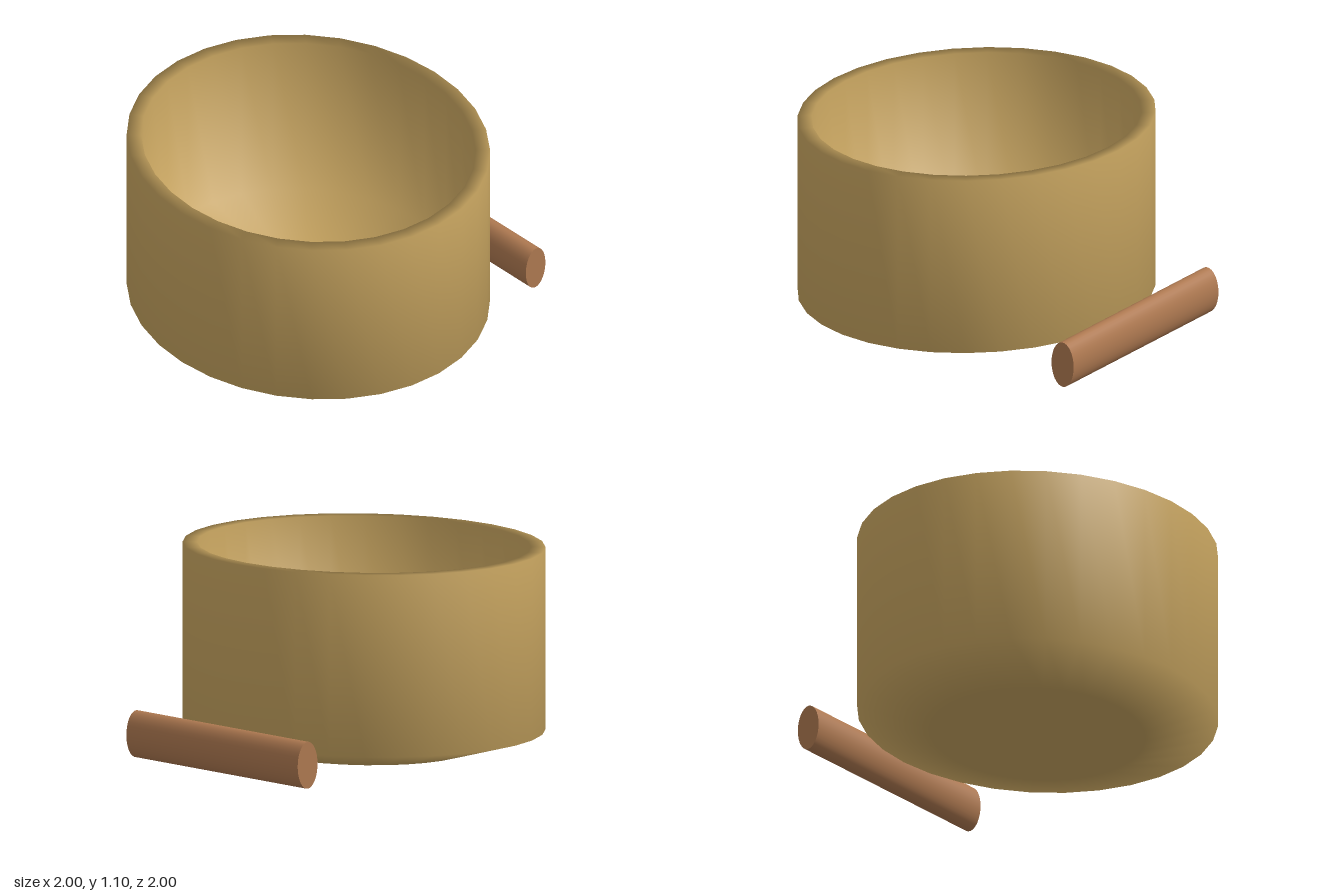
import * as THREE from 'three';
import { mergeVertices } from 'three/addons/utils/BufferGeometryUtils.js';

export function createModel() {
  const model = new THREE.Group();
  model.name = 'bowlAndRod';

  const tan = new THREE.MeshStandardMaterial({ color: 0xc8a560 });
  tan.name = 'tan clay';
  const brown = new THREE.MeshStandardMaterial({ color: 0xad7850 });
  brown.name = 'brown wood';

  // Bowl: chamfered base, straight wall, flat rim, straight inner wall and floor
  const profile = [
    [0, 0.021], [0.6, 0.021], [1, 0.13], [1, 1.1],
    [0.92, 1.1], [0.92, 0.15], [0, 0.11],
  ].map(([r, y]) => new THREE.Vector2(r, y));
  // Smooth normals weighted by face area, without a seam
  const lathe = new THREE.LatheGeometry(profile, 32);
  lathe.deleteAttribute('normal');
  lathe.deleteAttribute('uv');
  const bowlGeometry = mergeVertices(lathe);
  bowlGeometry.computeVertexNormals();
  const bowl = new THREE.Mesh(bowlGeometry, tan);
  bowl.name = 'bowl';
  bowl.scale.x = 0.914;
  bowl.position.x = -0.086;
  model.add(bowl);

  // Rod: oval cylinder lying along z beside the bowl
  const rodGeometry = new THREE.CylinderGeometry(1, 1, 1.33, 32);
  rodGeometry.rotateX(Math.PI / 2);
  rodGeometry.scale(0.071, 0.125, 1);
  const rod = new THREE.Mesh(rodGeometry, brown);
  rod.name = 'rod';
  rod.position.set(0.929, 0.125, 0);
  model.add(rod);

  return model;
}
